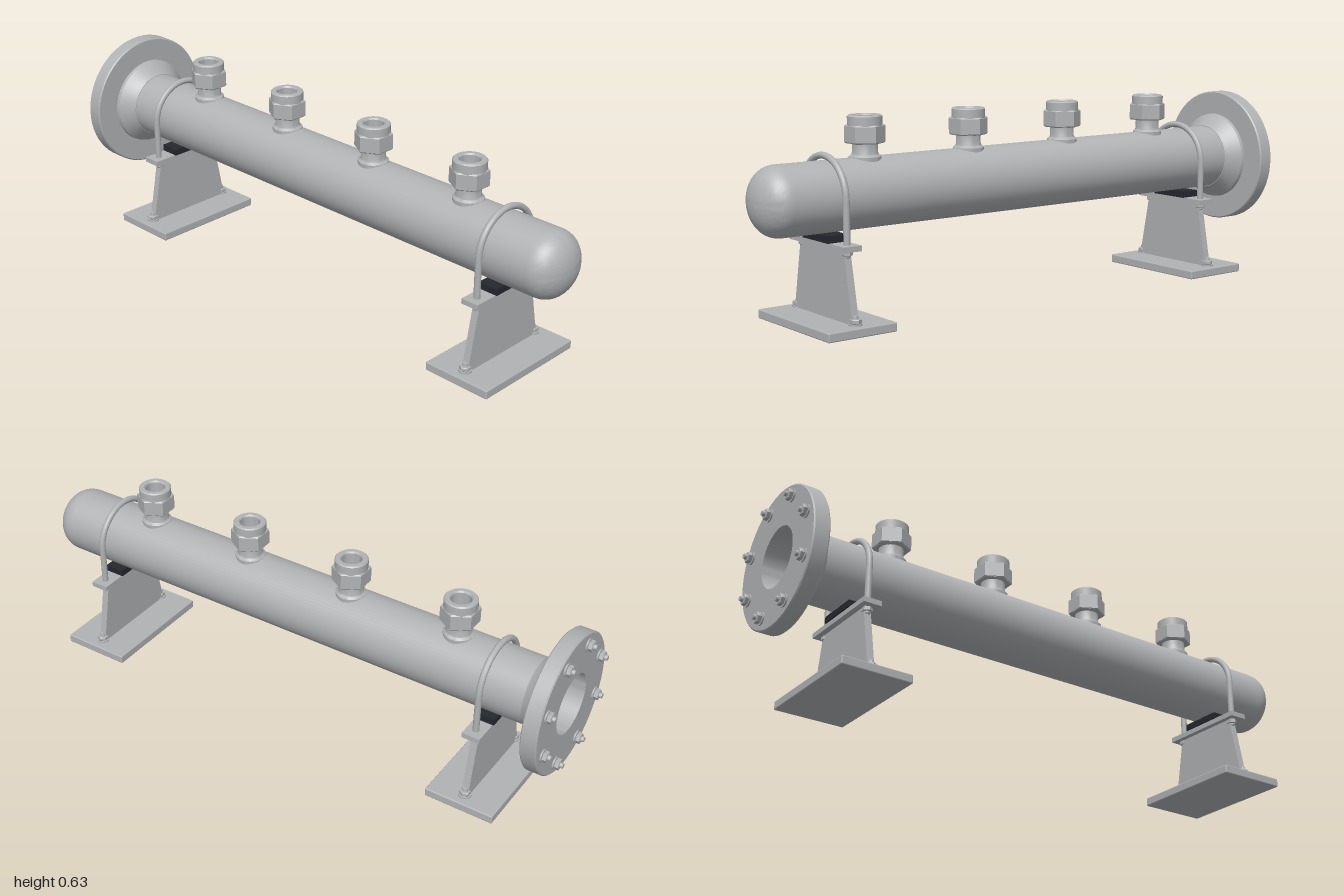
import * as THREE from 'three';
import { toCreasedNormals } from 'three/addons/utils/BufferGeometryUtils.js';
import { RoundedBoxGeometry } from 'three/addons/geometries/RoundedBoxGeometry.js';

const AXIS_Y = 0.396, PIPE_R = 0.11;

export function createModel() {
  const steel = new THREE.MeshStandardMaterial({ color: 0xb0b2b4 });
  steel.name = 'steel';
  const rubber = new THREE.MeshStandardMaterial({ color: 0x24272d });
  rubber.name = 'rubber';

  const model = new THREE.Group();
  model.name = 'pipeManifold';

  const add = (parent, name, geometry, x = 0, y = 0, z = 0, material = steel) => {
    const mesh = new THREE.Mesh(geometry, material);
    mesh.name = name;
    mesh.position.set(x, y, z);
    parent.add(mesh);
    return mesh;
  };
  const group = (parent, name, x, y, z) => {
    const g = new THREE.Group();
    g.name = name;
    g.position.set(x, y, z);
    parent.add(g);
    return g;
  };
  // Profile points are [radius, height], outside upwards and inside downwards
  const lathe = (points, sides = 48, crease = 0.5) => toCreasedNormals(
    new THREE.LatheGeometry(points.map(([r, h]) => new THREE.Vector2(r, h)), sides), crease);
  const hexNut = (r, h, bevel, hole = 0) => lathe(
    [[hole, 0], [r - bevel, 0], [r, bevel], [r, h - bevel], [r - bevel, h], [hole, h]], 6, 0.2);

  // Washer, hexagonal head and stud tip, standing on y = 0
  const addBolt = (parent, name, x, y, z, r = 0.018) => {
    const bolt = group(parent, name, x, y, z);
    add(bolt, 'washer', new THREE.CylinderGeometry(r * 1.12, r * 1.12, 0.005, 24), 0, 0.0025);
    add(bolt, 'nut', hexNut(r, 0.014, 0.002), 0, 0.005);
    add(bolt, 'studTip', new THREE.CylinderGeometry(r * 0.42, r * 0.5, 0.011, 16), 0, 0.0235);
    return bolt;
  };

  // Hollow pipe with a domed end, turned to lie along x
  const pipePoints = [[PIPE_R, -0.87]];
  const dome = (r, depth, a) => [r * Math.cos(a), 0.91 + depth * Math.sin(a) ** 0.9];
  for (let i = 0; i <= 14; i++) pipePoints.push(dome(PIPE_R, 0.087, i / 14 * Math.PI / 2));
  for (let i = 14; i >= 0; i--) pipePoints.push(dome(0.1, 0.077, i / 14 * Math.PI / 2));
  pipePoints.push([0.1, -0.87]);
  add(model, 'pipe', lathe(pipePoints, 64, 0.6), 0, AXIS_Y).rotation.z = -Math.PI / 2;

  // Weld neck flange with its tapered hub and bore
  add(model, 'flange', lathe([
    [0.1, -0.97], [0.229, -0.97], [0.233, -0.966], [0.233, -0.919], [0.229, -0.915],
    [0.152, -0.915], [0.15, -0.904], [0.117, -0.867], [0.112, -0.858], [0.1, -0.858], [0.1, -0.97],
  ], 64, 0.4), 0, AXIS_Y).rotation.z = -Math.PI / 2;

  // Bolt circle on the outer flange face
  for (let i = 0; i < 8; i++) {
    const a = (i + 0.5) * Math.PI / 4;
    const bolt = addBolt(model, 'flangeBolt', -0.97, AXIS_Y + 0.193 * Math.sin(a), 0.193 * Math.cos(a), 0.019);
    bolt.rotation.z = Math.PI / 2;
  }

  // Four open threaded outlets along the top
  for (let i = 0; i < 4; i++) {
    const port = group(model, 'outlet', -0.577 + i * 0.3935, 0, 0);
    add(port, 'stem', lathe([
      [0.05, 0.485], [0.05, 0.507], [0.042, 0.514], [0.04, 0.52], [0.04, 0.55],
      [0.033, 0.55], [0.033, 0.485],
    ], 32));
    add(port, 'hexNut', hexNut(0.063, 0.057, 0.004, 0.04), 0, 0.548);
    add(port, 'collar', lathe([
      [0.033, 0.55], [0.054, 0.55], [0.054, 0.631], [0.05, 0.635],
      [0.037, 0.635], [0.033, 0.63], [0.033, 0.55],
    ], 32));
  }

  // Trapezoid web, lying in the yz plane
  const webShape = new THREE.Shape([[-0.168, 0.025], [0.168, 0.025], [0.124, 0.25], [-0.124, 0.25]]
    .map(([x, y]) => new THREE.Vector2(x, y)));
  const webGeometry = new THREE.ExtrudeGeometry(webShape, { depth: 0.024, bevelEnabled: false });
  webGeometry.translate(0, 0, -0.012).rotateY(Math.PI / 2);

  // U-bolt path: up one leg, over the pipe, down the other
  const uPath = new THREE.CurvePath();
  const at = (y, z) => new THREE.Vector3(0, y, z);
  const R = 0.125;
  const arc = [];
  for (let i = 0; i <= 16; i++) {
    const a = i / 16 * Math.PI;
    arc.push(at(AXIS_Y + R * Math.sin(a), R * Math.cos(a)));
  }
  uPath.add(new THREE.LineCurve3(at(0.229, R), arc[0]));
  uPath.add(new THREE.CatmullRomCurve3(arc));
  uPath.add(new THREE.LineCurve3(arc[16], at(0.229, -R)));
  const uGeometry = new THREE.TubeGeometry(uPath, 72, 0.0105, 12);

  // Two saddle supports
  for (const x of [-0.722, 0.752]) {
    const support = group(model, 'support', x, 0, 0);
    add(support, 'basePlate', new RoundedBoxGeometry(0.24, 0.029, 0.418, 2, 0.004), 0, 0.0145);
    add(support, 'web', webGeometry);
    add(support, 'topPlate', new THREE.BoxGeometry(0.062, 0.017, 0.318), 0, 0.2565);
    add(support, 'pad', new THREE.BoxGeometry(0.07, 0.022, 0.148), 0, 0.276, 0, rubber);
    add(support, 'uBolt', uGeometry);
    for (const side of [-1, 1]) {
      add(support, 'uBoltNut', hexNut(0.017, 0.015, 0.002), 0, 0.233, side * R);
      add(support, 'uBoltEnd', new THREE.CylinderGeometry(0.0105, 0.008, 0.006, 12), 0, 0.228, side * R);
      addBolt(support, 'anchorBolt', 0, 0.029, side * 0.165, 0.0185);
    }
  }
  return model;
}
